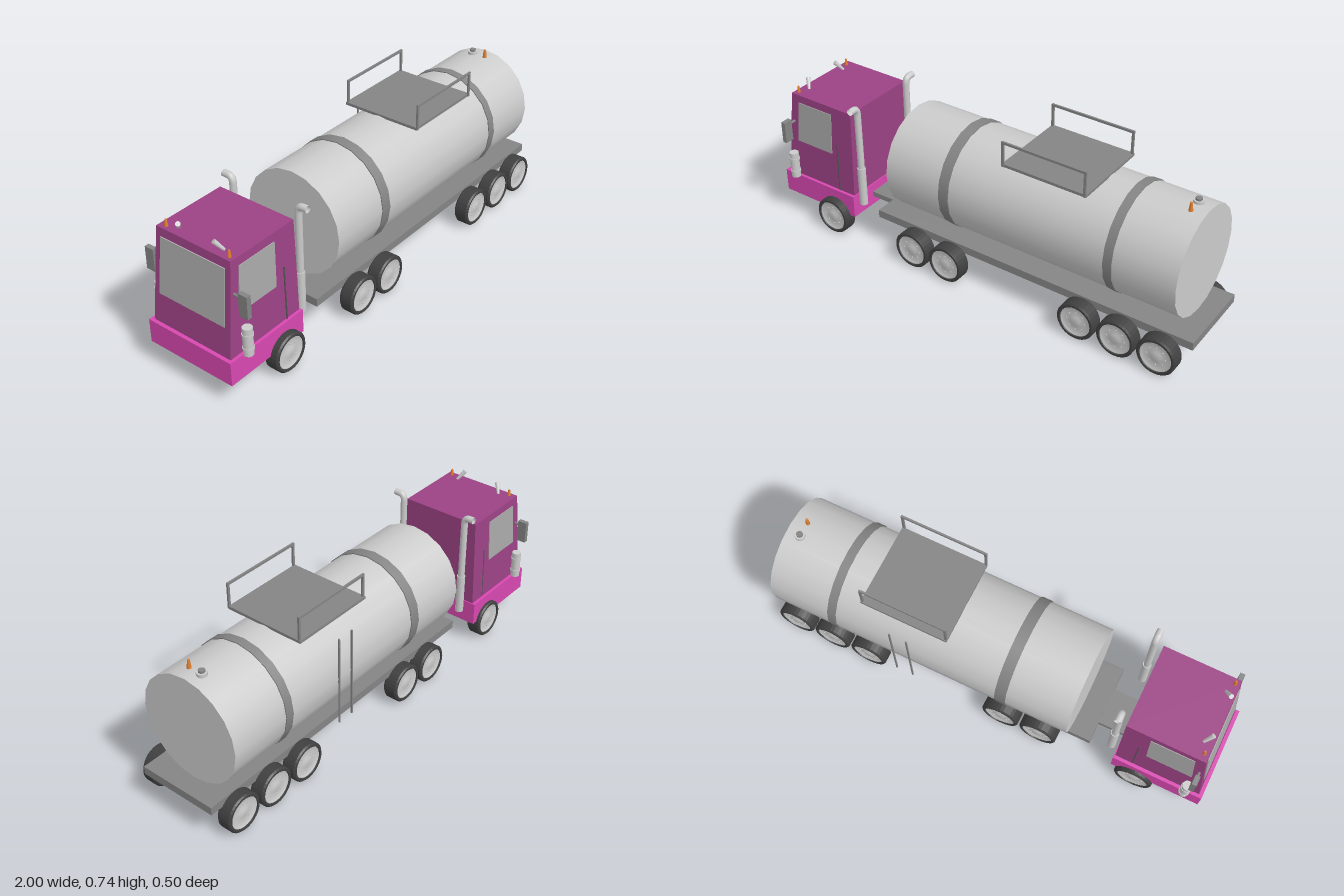
import * as THREE from 'three';

const mat = (color) => new THREE.MeshStandardMaterial({ color });
const M = {
  cab: mat(0x9c4284), bumper: mat(0xd848b0), grey: mat(0xcccccc), frame: mat(0x858585),
  tyre: mat(0x404040), glass: mat(0xaaaaaa), orange: mat(0xe08030), dark: mat(0x555555),
};
const V = (x, y, z) => new THREE.Vector3(x, y, z);

export function createModel() {
  const root = new THREE.Group();

  const add = (name, geo, material, x = 0, y = 0, z = 0) => {
    const mesh = new THREE.Mesh(geo, material);
    mesh.name = name;
    mesh.position.set(x, y, z);
    root.add(mesh);
    return mesh;
  };
  // box given by its limits on each axis
  const boxGeo = (x0, x1, y0, y1, z0, z1) =>
    new THREE.BoxGeometry(x1 - x0, y1 - y0, z1 - z0)
      .translate((x0 + x1) / 2, (y0 + y1) / 2, (z0 + z1) / 2);
  const box = (name, material, ...b) => add(name, boxGeo(...b), material);
  // rod between two points
  const rod = (name, material, a, b, r0, r1 = r0, sides = 12) => {
    const d = b.clone().sub(a);
    const mesh = add(name, new THREE.CylinderGeometry(r1, r0, d.length(), sides), material);
    mesh.position.copy(a).addScaledVector(d, 0.5);
    mesh.quaternion.setFromUnitVectors(V(0, 1, 0), d.normalize());
    return mesh;
  };
  // box following the cab's leaning front and tapering sides
  const cabBox = (name, material, ...b) => {
    const geo = boxGeo(...b);
    const p = geo.attributes.position;
    for (let i = 0; i < p.count; i++) {
      const t = (p.getY(i) - 0.2) / 0.4;
      const x = p.getX(i);
      p.setX(i, x + 0.045 * t * (-0.615 - x) / 0.37);
      p.setZ(i, -0.004 + p.getZ(i) * (1 - 0.065 * t));
    }
    geo.computeVertexNormals();
    return add(name, geo, material);
  };

  // cab and lower skirt
  box('lowerCab', M.bumper, -1, -0.61, 0.103, 0.205, -0.209, 0.2);
  cabBox('cab', M.cab, -0.985, -0.615, 0.2, 0.6, -0.191, 0.191);
  cabBox('windshield', M.glass, -0.989, -0.975, 0.33, 0.565, -0.165, 0.165);

  for (const s of [1, -1]) {
    const zs = (a, b) => (s > 0 ? [a, b] : [-b, -a]);
    cabBox('sideWindow', M.glass, -0.94, -0.735, 0.375, 0.565, ...zs(0.18, 0.194));
    rod('grabHandle', M.dark, V(-0.69, 0.21, s * 0.193), V(-0.69, 0.44, s * 0.188), 0.003, 0.003, 6);

    // mirror with its bracket
    const mirror = box('mirror', M.frame, -0.948, -0.928, 0.39, 0.487, ...zs(0.207, 0.248));
    mirror.geometry.computeVertexNormals();
    rod('mirrorBracket', M.frame, V(-0.938, 0.465, s * 0.175), V(-0.938, 0.465, s * 0.215), 0.006, 0.006, 8);

    // side canister with rims
    add('canister', new THREE.CylinderGeometry(0.02, 0.02, 0.12, 16), M.grey, -0.923, 0.271, s * 0.217);
    for (const y of [0.24, 0.3])
      add('canisterRim', new THREE.CylinderGeometry(0.0225, 0.0225, 0.01, 16), M.grey, -0.923, y, s * 0.217);

    // exhaust stack bending outwards at the top
    const ez = s > 0 ? 0.168 : -0.15;
    const path = new THREE.CurvePath();
    path.add(new THREE.LineCurve3(V(-0.58, 0.21, ez), V(-0.58, 0.61, ez)));
    path.add(new THREE.QuadraticBezierCurve3(V(-0.58, 0.61, ez), V(-0.58, 0.639, ez), V(-0.58, 0.639, ez + s * 0.022)));
    path.add(new THREE.LineCurve3(V(-0.58, 0.639, ez + s * 0.022), V(-0.58, 0.639, ez + s * 0.045)));
    const pipe = add('exhaustPipe', new THREE.TubeGeometry(path, 50, 0.0145, 14), M.grey);
    pipe.material = M.grey.clone();
    pipe.material.side = THREE.DoubleSide;
    add('exhaustBase', new THREE.CylinderGeometry(0.018, 0.018, 0.18, 14), M.grey, -0.58, 0.26, ez);

    // roof lights and horns
    rod('roofLight', M.orange, V(-0.92, 0.598, s * 0.152), V(-0.92, 0.628, s * 0.152), 0.008, 0.004);
    rod('horn', M.grey, V(-0.9, 0.6, s * 0.11), V(-0.925, 0.638, s * 0.085), 0.006, 0.01);
  }

  // chassis
  box('couplingBeam', M.frame, -0.615, -0.4, 0.143, 0.166, -0.087, 0.073);
  box('chassis', M.frame, -0.495, 1, 0.134, 0.169, -0.177, 0.171);

  // wheels: a dark tyre with a dished pale hub on the outer side
  const tyreProfile = [[0, -0.032], [0.076, -0.032], [0.083, -0.024], [0.083, 0.026],
    [0.077, 0.032], [0.068, 0.032], [0.066, 0.02]].map((p) => new THREE.Vector2(...p));
  const hubProfile = [[0.068, 0.027], [0.062, 0.029], [0.056, 0.022], [0.025, 0.022],
    [0.02, 0.028], [0, 0.028]].map((p) => new THREE.Vector2(...p));
  const tyreMat = M.tyre.clone();
  tyreMat.flatShading = true;
  const tyreGeo = new THREE.LatheGeometry(tyreProfile, 32);
  const hubGeo = new THREE.LatheGeometry(hubProfile, 32);
  const nutGeo = new THREE.CylinderGeometry(0.003, 0.003, 0.006, 6);
  for (const x of [-0.715, -0.277, -0.103, 0.528, 0.705, 0.88]) {
    for (const s of [1, -1]) {
      const wheel = new THREE.Group();
      wheel.name = 'wheel';
      const part = (name, geo, m) => {
        const mesh = new THREE.Mesh(geo, m);
        mesh.name = name;
        wheel.add(mesh);
        return mesh;
      };
      part('tyre', tyreGeo, tyreMat);
      part('hub', hubGeo, M.grey);
      for (let i = 0; i < 8; i++) {
        const a = (i * Math.PI) / 4;
        part('wheelNut', nutGeo, M.grey).position.set(0.04 * Math.cos(a), 0.023, 0.04 * Math.sin(a));
      }
      wheel.rotation.x = (s * Math.PI) / 2;
      wheel.position.set(x, 0.083, s > 0 ? 0.2 : -0.193);
      root.add(wheel);
    }
  }

  // tank and its straps
  const drum = (name, x0, x1, r, m) => {
    const mesh = add(name, new THREE.CylinderGeometry(r, r, x1 - x0, 20), m, (x0 + x1) / 2, 0.4, -0.016);
    mesh.rotation.z = Math.PI / 2;
  };
  drum('tank', -0.405, 0.925, 0.227, M.grey);
  drum('tankStrap', -0.137, -0.09, 0.231, M.frame);
  drum('tankStrap', 0.624, 0.661, 0.231, M.frame);

  // walkway platform with a rail along each side
  box('walkway', M.frame, 0.14, 0.515, 0.622, 0.634, -0.189, 0.167);
  for (const z of [0.168, -0.181]) {
    for (const x of [0.146, 0.509])
      box('railPost', M.frame, x - 0.005, x + 0.005, 0.624, 0.735, z - 0.004, z + 0.004);
    box('handrail', M.frame, 0.141, 0.514, 0.725, 0.735, z - 0.004, z + 0.004);
  }

  // access rods on the far side of the tank
  for (const x of [0.29, 0.364])
    box('ladderRod', M.frame, x - 0.003, x + 0.003, 0.19, 0.585, -0.248, -0.242);

  // filler cap and rear light on top of the tank
  add('fillerNeck', new THREE.CylinderGeometry(0.021, 0.021, 0.014, 16), M.grey, 0.865, 0.629, -0.043);
  add('fillerCap', new THREE.CylinderGeometry(0.013, 0.013, 0.01, 16), M.frame, 0.865, 0.64, -0.043);
  rod('tankLight', M.orange, V(0.865, 0.622, 0.02), V(0.865, 0.659, 0.02), 0.009, 0.005);

  return root;
}
